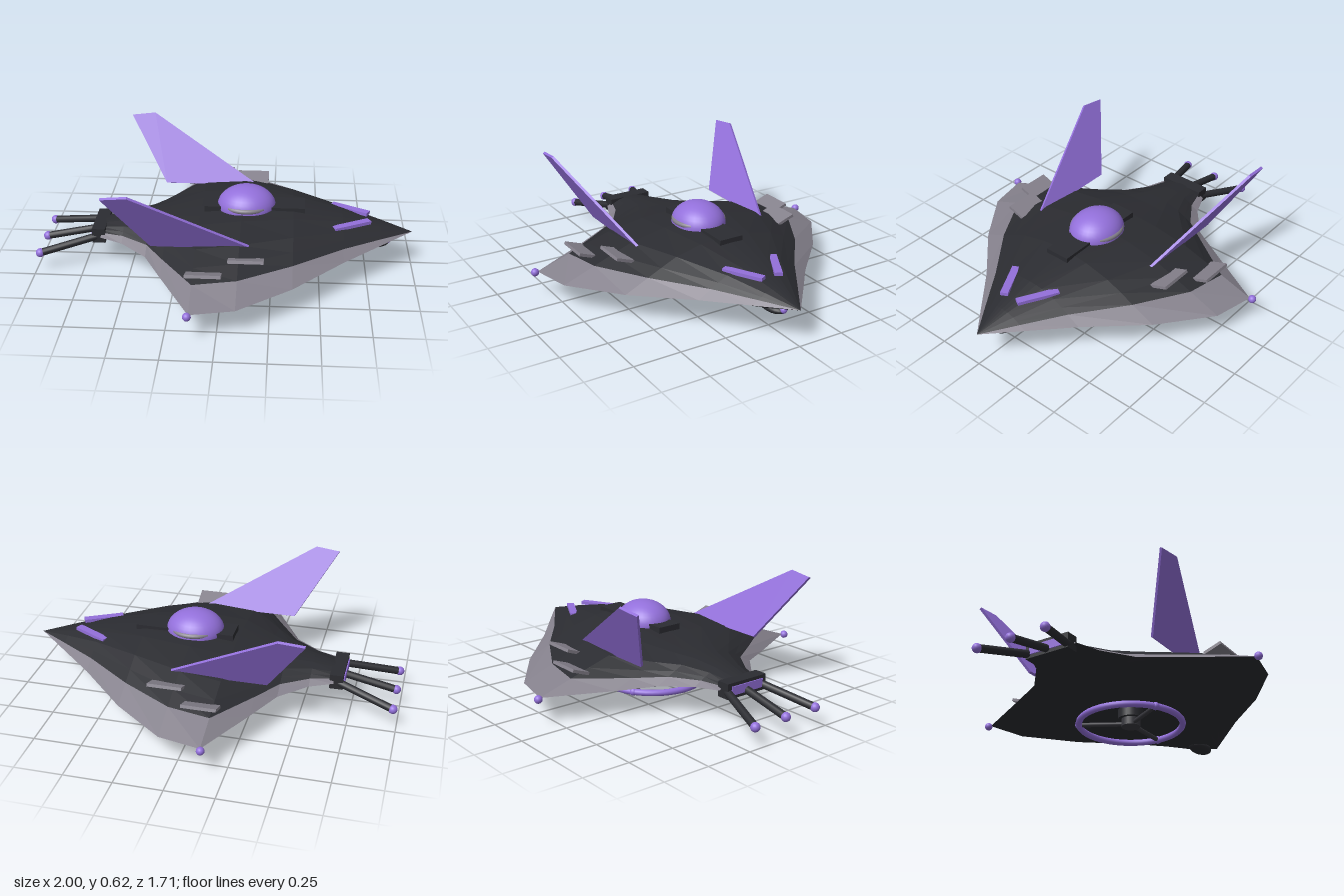
import * as THREE from 'three';

const mat = (name, color) => Object.assign(new THREE.MeshStandardMaterial({ color }), { name });

export function createModel() {
  const hullDark = mat('hull charcoal', 0x2b2c31);
  const trim = mat('trim grey', 0x85818c);
  const violet = mat('violet', 0x9370db);
  const metal = mat('dark metal', 0x3a3a40);
  hullDark.flatShading = trim.flatShading = false;

  const model = new THREE.Group();
  model.name = 'hoverCraft';
  const add = (name, geo, material, x = 0, y = 0, z = 0, parent = model) => {
    const m = new THREE.Mesh(geo, material);
    m.name = name;
    m.position.set(x, y, z);
    parent.add(m);
    return m;
  };
  const ball = (name, r, material, x, y, z) => add(name, new THREE.SphereGeometry(r, 16, 12), material, x, y, z);
  const rod = (name, a, b, r, material) => {
    const dir = b.clone().sub(a);
    const m = add(name, new THREE.CylinderGeometry(r, r, dir.length(), 14), material);
    m.position.copy(a).add(b).multiplyScalar(0.5);
    m.quaternion.setFromUnitVectors(new THREE.Vector3(0, 1, 0), dir.normalize());
    return m;
  };

  // Hull stations, tail to nose: x, half width, rim height, crown height, keel height
  const stations = [
    [-0.66, 0, 0.17, 0.17, 0.17],
    [-0.66, 0.14, 0.17, 0.21, 0.14],
    [-0.54, 0.19, 0.165, 0.235, 0.13],
    [-0.40, 0.31, 0.155, 0.258, 0.118],
    [-0.30, 0.50, 0.145, 0.272, 0.11],
    [-0.13, 0.82, 0.135, 0.305, 0.1],
    [0.09, 0.775, 0.137, 0.328, 0.097],
    [0.36, 0.575, 0.147, 0.323, 0.098],
    [0.62, 0.32, 0.163, 0.283, 0.112],
    [0.82, 0.15, 0.177, 0.235, 0.135],
    [0.995, 0, 0.188, 0.188, 0.188],
  ];
  // Cross-section: share of half width against share of height
  const half = [[0.13, 0.985], [0.25, 0.95], [0.5, 0.76], [0.65, 0.54], [0.78, 0.34], [1, 0]];
  const section = [...half.map(([t, f]) => [-t, f]).reverse(), [0, 1], ...half];
  const skin = (level, keep) => {
    const pts = [];
    const at = (i, j) => {
      const [x, w, rim] = stations[i], [t, f] = section[j];
      return [x, rim + (stations[i][level] - rim) * f, w * t];
    };
    for (let i = 0; i < stations.length - 1; i++) {
      for (let j = 0; j < section.length - 1; j++) {
        if (!keep(Math.abs(section[j][0] + section[j + 1][0]) / 2)) continue;
        const a = at(i, j), b = at(i, j + 1), c = at(i + 1, j + 1), d = at(i + 1, j);
        const quad = level === 3 ? [a, b, c, a, c, d] : [a, c, b, a, d, c];
        pts.push(...quad.flat());
      }
    }
    const g = new THREE.BufferGeometry();
    g.setAttribute('position', new THREE.Float32BufferAttribute(pts, 3));
    g.computeVertexNormals();
    return g;
  };
  add('hullDeck', skin(3, t => t < 0.78), hullDark);
  add('hullRim', skin(3, t => t > 0.78), trim);
  add('hullUnderside', skin(4, () => true), hullDark);

  // Canopy, its collar and the spine plate
  add('canopy', new THREE.SphereGeometry(1, 32, 20), violet, 0.11, 0.32, 0).scale.set(0.155, 0.11, 0.138);
  add('canopyCollar', new THREE.TorusGeometry(0.128, 0.014, 10, 40), trim, 0.11, 0.34, 0).rotation.x = Math.PI / 2;
  add('spinePlate', new THREE.BoxGeometry(0.53, 0.05, 0.135), hullDark, 0.155, 0.313, 0);

  // Paired parts
  const finShape = new THREE.Shape([[-0.36, -0.01], [0.16, -0.01], [-0.44, 0.39], [-0.57, 0.375]]
    .map(p => new THREE.Vector2(...p)));
  for (const s of [-1, 1]) {
    const fin = new THREE.ExtrudeGeometry(finShape, { depth: 0.014, bevelEnabled: false });
    fin.translate(0, 0, -0.007);
    add('tailFin', fin, violet, 0, 0.272, s * 0.38).rotation.x = s * 0.498;

    for (const [x, y, z] of [[-0.075, 0.226, 0.6], [0.128, 0.254, 0.495]]) {
      add('deckFlap', new THREE.BoxGeometry(0.178, 0.016, 0.1), trim, x, y, s * z).rotation.x = -s * 0.35;
    }
    const strip = add('noseStrip', new THREE.BoxGeometry(0.215, 0.018, 0.04), violet, 0.665, 0.265, s * 0.095);
    strip.rotation.y = s * 0.49;
    ball('wingTipLight', 0.021, violet, -0.135, 0.132, s * 0.832);
  }

  // Tail block with three splayed barrels
  add('tailBlock', new THREE.BoxGeometry(0.07, 0.08, 0.25), hullDark, -0.673, 0.172, 0);
  add('tailPanel', new THREE.BoxGeometry(0.008, 0.045, 0.2), violet, -0.71, 0.172, 0);
  for (const s of [-1, 0, 1]) {
    const tip = new THREE.Vector3(-0.976, 0.1, s * 0.197);
    rod('tailBarrel', new THREE.Vector3(-0.68, 0.163, s * 0.105), tip, 0.02, hullDark);
    ball('barrelTip', 0.024, violet, tip.x, tip.y, tip.z);
  }

  // Sensor pod under the nose
  add('sensorPod', new THREE.SphereGeometry(1, 24, 14), hullDark, 0.785, 0.125, 0).scale.set(0.09, 0.028, 0.055);
  ball('sensorLight', 0.018, violet, 0.866, 0.133, 0);

  // Landing ring on a central column
  const cx = 0.033, ringY = 0.021;
  add('landingColumn', new THREE.CylinderGeometry(0.068, 0.068, 0.07, 28), hullDark, cx, 0.083, 0);
  add('landingHub', new THREE.CylinderGeometry(0.05, 0.05, 0.045, 24), metal, cx, 0.028, 0);
  add('landingRing', new THREE.TorusGeometry(0.272, 0.017, 12, 56), violet, cx, ringY, 0).rotation.x = Math.PI / 2;
  for (let k = 0; k < 3; k++) {
    const a = k * Math.PI * 2 / 3;
    const end = new THREE.Vector3(cx + 0.272 * Math.cos(a), ringY, 0.272 * Math.sin(a));
    rod('ringSpoke', new THREE.Vector3(cx, ringY, 0), end, 0.012, metal);
    ball('ringNode', 0.021, violet, end.x, end.y, end.z);
  }
  return model;
}
